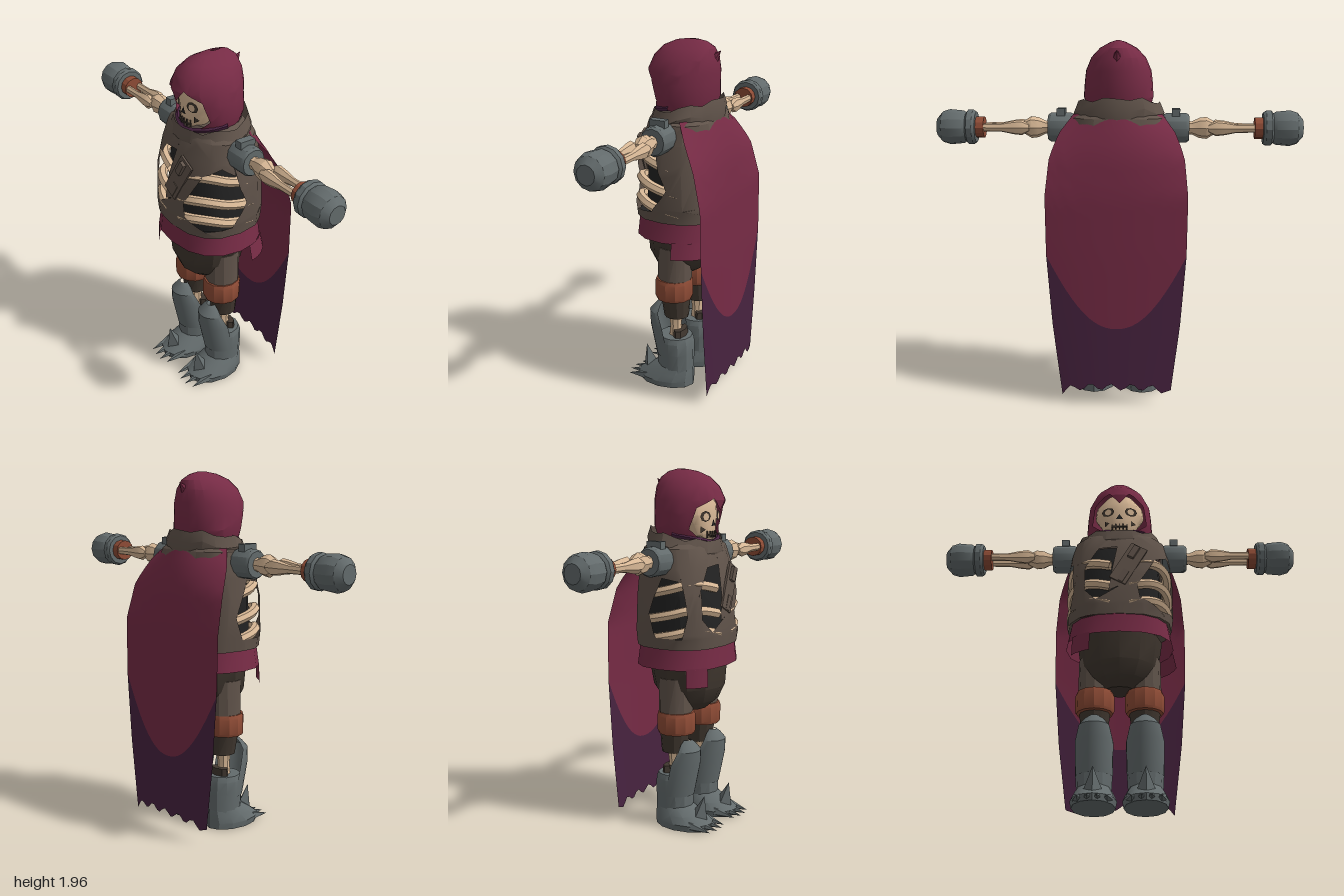
import * as THREE from 'three';
import { toCreasedNormals } from 'three/addons/utils/BufferGeometryUtils.js';

const material = (name, color) => {
  const m = new THREE.MeshStandardMaterial({ color, side: THREE.DoubleSide });
  m.name = name;
  return m;
};

// Surface point on stacked ellipses. Ring = [y, rx, rz, cz]; u is the angle from the front.
function ringPoint(rings, u, y, pow = 1) {
  let i = 0;
  while (i < rings.length - 2 && y > rings[i + 1][0]) i++;
  const a = rings[i], b = rings[i + 1], t = (y - a[0]) / (b[0] - a[0]);
  const at = (k) => THREE.MathUtils.lerp(a[k] || 0, b[k] || 0, t);
  const bend = (v) => Math.sign(v) * Math.abs(v) ** pow;
  return [at(1) * bend(Math.sin(u)), y, at(2) * bend(Math.cos(u)) + at(3)];
}

// Keep the part of a polygon on one side of the line a-b.
function half(poly, a, b, sign) {
  const d = (p) => sign * ((b[0] - a[0]) * (p[1] - a[1]) - (b[1] - a[1]) * (p[0] - a[0]));
  const out = [];
  poly.forEach((p, i) => {
    const q = poly[(i + 1) % poly.length], dp = d(p), dq = d(q);
    if (dp >= 0) out.push(p);
    if ((dp > 0 && dq < 0) || (dp < 0 && dq > 0)) {
      const t = dp / (dp - dq);
      out.push([p[0] + (q[0] - p[0]) * t, p[1] + (q[1] - p[1]) * t]);
    }
  });
  return out.length > 2 ? out : [];
}

// Cut a convex hole out of a cell, leaving convex pieces.
function cut(poly, hole) {
  const pieces = [];
  let rest = poly;
  hole.forEach((a, i) => {
    const b = hole[(i + 1) % hole.length], outside = half(rest, a, b, -1);
    if (outside.length) pieces.push(outside);
    rest = half(rest, a, b, 1);
  });
  return pieces;
}

// Skin over rings, with optional holes given in (angle, height) and optional end caps.
function shell(rings, { n = 16, u0 = -Math.PI, u1 = Math.PI, holes = [], cap = false, pow = 1 } = {}) {
  const pos = [];
  for (let r = 0; r < rings.length - 1; r++) for (let c = 0; c < n; c++) {
    const a = u0 + (u1 - u0) * c / n, b = u0 + (u1 - u0) * (c + 1) / n;
    const y0 = rings[r][0], y1 = rings[r + 1][0];
    let cells = [[[a, y0], [b, y0], [b, y1], [a, y1]]];
    for (const h of holes) cells = cells.flatMap((p) => cut(p, h));
    for (const p of cells) for (let k = 1; k < p.length - 1; k++)
      for (const q of [p[0], p[k], p[k + 1]]) pos.push(...ringPoint(rings, q[0], q[1], pow));
  }
  if (cap) for (const [ring, s] of [[rings[0], -1], [rings[rings.length - 1], 1]])
    for (let c = 0; c < n; c++) {
      const a = u0 + (u1 - u0) * c / n, b = u0 + (u1 - u0) * (c + 1) / n;
      pos.push(0, ring[0], ring[3] || 0);
      for (const u of s > 0 ? [a, b] : [b, a]) pos.push(...ringPoint(rings, u, ring[0], pow));
    }
  const g = new THREE.BufferGeometry();
  g.setAttribute('position', new THREE.Float32BufferAttribute(pos, 3));
  return g;
}

// Move every vertex by a rule.
function warp(g, rule) {
  const p = g.attributes.position, v = new THREE.Vector3();
  for (let i = 0; i < p.count; i++) {
    rule(v.fromBufferAttribute(p, i));
    p.setXYZ(i, v.x, v.y, v.z);
  }
  return g;
}

export function createModel() {
  const model = new THREE.Group();
  const cloth = material('wine cloth', 0x762b45), lining = material('dark purple cloth', 0x482340);
  const steel = material('grey steel', 0x636b6c), leather = material('orange leather', 0x8f4c36);
  const bone = material('bone', 0xd8b896), vest = material('brown hide', 0x60534a);
  const trouser = material('dark trousers', 0x40372f), shadow = material('black hollow', 0x232323);

  const add = (name, g, mat, pos = [0, 0, 0], rot = [0, 0, 0]) => {
    const mesh = new THREE.Mesh(toCreasedNormals(g, 0.5), mat);
    mesh.name = name;
    mesh.position.set(...pos);
    mesh.rotation.set(...rot);
    model.add(mesh);
    return mesh;
  };
  const box = (x, y, z) => new THREE.BoxGeometry(x, y, z);

  // Torso: torn vest over a hollow with ribs
  const body = [[1.02, .29, .245], [1.1, .3, .25], [1.3, .3, .238], [1.45, .285, .212, -.01], [1.55, .26, .185, -.015], [1.61, .17, .14, -.01]];
  const tears = [
    [[-.32, 1.45], [-.6, 1.33], [-.6, 1.18], [-.36, 1.11], [-.13, 1.16], [-.02, 1.46]],
    [[.25, 1.2], [.3, 1.12], [.8, 1.06], [1.4, 1.08], [1.65, 1.2], [1.45, 1.38], [1.1, 1.43], [.65, 1.38]],
    [[-1.75, 1.2], [-1.6, 1.08], [-1.1, 1.08], [-.95, 1.2], [-1.05, 1.38], [-1.5, 1.4]],
  ];
  add('vest', shell(body, { holes: tears, cap: true, pow: .8 }), vest);
  const scaled = (k) => body.map(([y, rx, rz, cz]) => [y, rx * k, rz * k, cz]);
  add('chestHollow', shell(scaled(.78), { pow: .8 }), shadow);
  for (const s of [-1, 1]) for (const y of [1.1, 1.21, 1.345]) {
    const path = [.12, .4, .7, 1, 1.3, 1.6, 1.9].map((u, i) =>
      new THREE.Vector3(...ringPoint(scaled(.9), s * u, y + .03 * Math.sin(i * .7) - .01, .8)));
    add('rib', new THREE.TubeGeometry(new THREE.CatmullRomCurve3(path), 14, .027, 6), bone);
  }
  // Diagonal chest strap with two buckles
  add('chestStrap', box(.1, .26, .012), vest, [.05, 1.33, .232], [-.08, .06, -.5]);
  for (const [x, y] of [[.08, 1.4], [.02, 1.25]]) add('buckle', box(.035, .08, .025), vest, [x, y, .237], [-.08, 0, -.5]);

  // Ragged collar, higher at the back
  add('collar', warp(shell([[1.5, .235, .185, -.015], [1.56, .25, .195, -.01], [1.62, .225, .18, -.01]], { n: 20 }), (v) => {
    if (v.y > 1.55) v.y += .012 * Math.sin(7 * Math.atan2(v.x, v.z));
    v.y -= .2 * v.z;
  }), vest);

  // Skull
  const skull = [[1.57, .05, .045, .09], [1.62, .09, .07, .085], [1.67, .11, .085, .07], [1.72, .14, .1, .055], [1.78, .135, .1, .05], [1.85, .08, .07, .05]];
  add('skull', shell(skull, { cap: true }), bone);
  const onFace = (name, g, mat, u, y, lift) => {
    const [x, , z] = ringPoint(skull, u, y);
    add(name, g, mat, [x, y, z + lift], [0, u * .6, 0]);
  };
  for (const s of [-1, 1]) {
    onFace('eyeSocket', new THREE.CircleGeometry(.034, 8).scale(1.1, .85, 1), trouser, s * .5, 1.715, .008);
    onFace('eye', new THREE.CircleGeometry(.02, 8), bone, s * .5, 1.713, .012);
    onFace('cheekHollow', new THREE.CircleGeometry(.022, 3), trouser, s * .85, 1.645, .008);
  }
  onFace('noseHole', new THREE.CircleGeometry(.024, 3, Math.PI / 2), shadow, 0, 1.675, .006);
  for (const u of [-.5, -.25, 0, .25, .5]) onFace('toothGap', box(.007, .035, .008), trouser, u, 1.618, .002);
  onFace('mouthLine', box(.09, .007, .008), trouser, 0, 1.617, .002);

  // Hood with a pointed face opening
  const hood = [[1.57, .165, .15, 0], [1.66, .19, .18, 0], [1.74, .185, .192, .01], [1.8, .178, .198, .012], [1.87, .148, .18, 0], [1.92, .1, .145, -.015], [1.95, .045, .09, -.03], [1.962, .008, .03, -.04]];
  const opening = [[0, 1.59], [.55, 1.59], [.95, 1.65], [.85, 1.76], [.33, 1.81], [0, 1.745]];
  add('hood', shell(hood, { n: 24, holes: [opening, opening.map(([u, y]) => [-u, y]).reverse()] }), cloth);
  add('hoodTip', new THREE.ConeGeometry(.05, .1, 6), cloth, [0, 1.875, -.165], [-.75, 0, 0]);
  const hem = [-1.5, -1, -.5, 0, .5, 1, 1.5].map((u) => new THREE.Vector3(...ringPoint(hood, u, 1.575 + .03 * Math.abs(u))));
  add('chinBand', new THREE.TubeGeometry(new THREE.CatmullRomCurve3(hem), 16, .014, 5), lining);

  // Cape: rows are [y, half width, centre z, edge z]; a dark lower part below an arc
  const rows = [[.05, .295, -.295, -.275], [.45, .345, -.295, -.275], [.83, .375, -.295, -.275], [1.15, .38, -.29, -.27], [1.35, .36, -.268, -.22], [1.47, .315, -.235, -.15], [1.57, .24, -.19, -.08]];
  const drape = (v, u, y) => {
    let i = 0;
    while (i < rows.length - 2 && y > rows[i + 1][0]) i++;
    const [a, b] = [rows[i], rows[i + 1]], t = (y - a[0]) / (b[0] - a[0]);
    const [w, zc, ze] = [1, 2, 3].map((k) => THREE.MathUtils.lerp(a[k], b[k], t));
    v.set(w * u, y, zc + (ze - zc) * u * u);
  };
  const arc = (u) => .43 + .4 * Math.abs(u) ** 2.2;
  const hemY = (u) => .1 + .018 * Math.sin(u * 17) - .035 * u ** 4;
  const capePart = (name, low, high, mat) => add(name, warp(new THREE.PlaneGeometry(1, 1, 24, 16), (v) => {
    const u = v.x * 2;
    drape(v, u, THREE.MathUtils.lerp(low(u), high(u), v.y + .5));
  }), mat);
  capePart('cape', arc, () => 1.57, cloth);
  capePart('capeHem', hemY, arc, lining);

  // Sash with hanging flaps, and trousers
  add('sash', shell([[.91, .298, .25], [1.03, .275, .24]], { pow: .85 }), cloth);
  add('sashTop', shell([[1.02, .2, .18], [1.03, .28, .24]], { pow: .85 }), shadow);
  add('frontFlap', shell([[.815, .3, .255], [.92, .297, .25]], { n: 3, u0: -1, u1: -.5, pow: .85 }), cloth);
  add('backFlap', shell([[.83, .32, .27], [.92, .3, .252]], { n: 4, u0: 1.75, u1: 2.5, pow: .85 }), cloth);
  add('trouserSeat', shell([[.65, .09, .08, .03], [.7, .16, .15, .02], [.78, .21, .195, .01], [.95, .235, .215, 0]], { n: 12, cap: true }), trouser);

  for (const s of [-1, 1]) {
    // Leg, knee strap and shin bone
    const x = s * .135;
    const part = (name, rings, mat, opts) => add(name, shell(rings, { n: 12, cap: true, ...opts }), mat, [x, 0, 0]);
    part('thigh', [[.6, .092, .095, .005], [.84, .088, .095, .005]], vest);
    part('kneeStrap', [[.53, .1, .1, .01], [.545, .106, .105, .01], [.63, .106, .105, .01], [.65, .098, .1, .01]], leather);
    part('trouserCuff', [[.42, .068, .07, -.005], [.54, .085, .082, 0]], trouser);
    part('shinBone', [[.28, .04, .04], [.36, .033, .033], [.44, .042, .042]], bone, { n: 8 });
    part('bootLining', [[.28, .065, .035, -.03], [.34, .06, .03, -.03]], trouser, { n: 8 });

    // Armoured boot
    part('bootShaft', [[.06, .09, .105], [.2, .098, .108], [.27, .1, .105], [.3, .09, .095]], steel);
    part('shinPlate', [[.18, .098, .112], [.36, .102, .11, .04], [.44, .082, .08, .075], [.475, .055, .05, .075], [.495, .025, .03, .075]], steel, { u0: -1.6, u1: 1.6, cap: false });
    part('foot', [[0, .115, .17, .06], [.035, .122, .172, .062], [.075, .108, .145, .035], [.12, .088, .105, 0]], steel);
    add('footSpike', new THREE.ConeGeometry(.055, .14, 4), steel, [x, .12, .175], [.25, 0, 0]);
    for (const k of [-1.5, -.5, .5, 1.5])
      add('toeClaw', new THREE.ConeGeometry(.03, .13, 5), steel, [x + k * .05, .022, .232 - Math.abs(k) * .016], [Math.PI / 2 + .12, 0, 0]);

    // Arm, built upright along its length and turned sideways
    const arm = (name, rings, mat, z = 0, n = 12) =>
      add(name, shell(rings, { n, cap: true }), mat, [0, 1.49, z], [0, 0, -s * Math.PI / 2]);
    arm('shoulderGuard', [[.245, .072, .07], [.26, .08, .075], [.37, .08, .075], [.385, .07, .068]], steel);
    add('shoulderStud', box(.045, .04, .09), steel, [s * .313, 1.575, 0]);
    arm('upperArmBone', [[.36, .04, .035], [.4, .035, .03], [.44, .055, .045], [.48, .06, .05], [.53, .03, .03]], bone, 0, 8);
    for (const z of [-.035, .035])
      arm('forearmBone', [[.49, .02, .02], [.53, .043, .03], [.58, .037, .026], [.64, .024, .018], [.76, .022, .018]], bone, z, 7);
    arm('wristStrap', [[.74, .058, .06], [.79, .058, .06]], leather);
    arm('gauntletCuff', [[.785, .085, .085], [.8, .095, .095], [.83, .095, .095], [.845, .075, .075]], steel);
    arm('fist', [[.825, .07, .07], [.855, .09, .09], [.93, .097, .097], [.97, .085, .085], [1, .05, .05]], steel);
  }
  return model;
}
